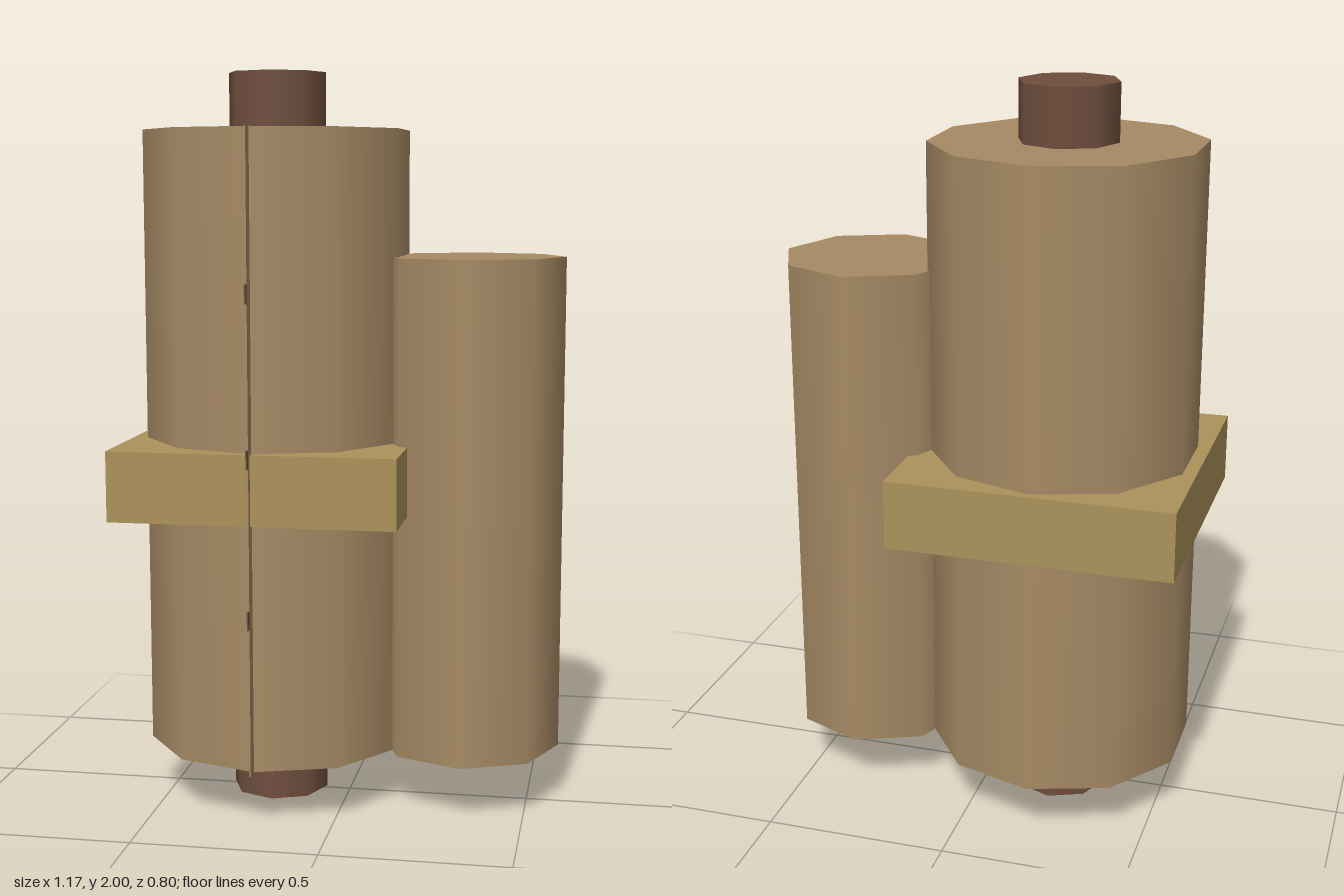
import * as THREE from 'three';

const paper = new THREE.MeshStandardMaterial({ color: 0xa68a64 });
const wood = new THREE.MeshStandardMaterial({ color: 0x6f4e3d });
const strap = new THREE.MeshStandardMaterial({ color: 0xab925a });

export function createModel() {
  const model = new THREE.Group();
  const CX = -0.202, CZ = -0.015; // axis of the main roll

  const add = (name, geometry, material, x, y, z) => {
    const mesh = new THREE.Mesh(geometry, material);
    mesh.name = name;
    mesh.position.set(x, y, z);
    model.add(mesh);
  };

  // Upright faceted roll between two heights
  const roll = (name, radius, sides, y0, y1, x, material) =>
    add(name, new THREE.CylinderGeometry(radius, radius, y1 - y0, sides), material, x, (y0 + y1) / 2, CZ);

  roll('mainRoll', 0.365, 10, 0.157, 1.847, CX, paper);
  roll('sideRoll', 0.25, 8, 0.157, 1.51, 0.335, paper);
  roll('centreRod', 0.134, 8, 0, 2, CX, wood);

  // Square strap around the main roll
  add('strap', new THREE.BoxGeometry(0.768, 0.188, 0.768), strap, CX, 0.918, CZ);

  // Thin loose edge of the sheet along the front
  add('sheetEdge', new THREE.BoxGeometry(0.004, 1.69, 0.045), paper, CX, 1.002, 0.365);

  // Small ties on the loose edge
  for (const y of [0.58, 1.003, 1.427]) {
    add('edgeTie', new THREE.BoxGeometry(0.004, 0.05, 0.03), wood, CX, y, 0.386);
  }

  return model;
}
